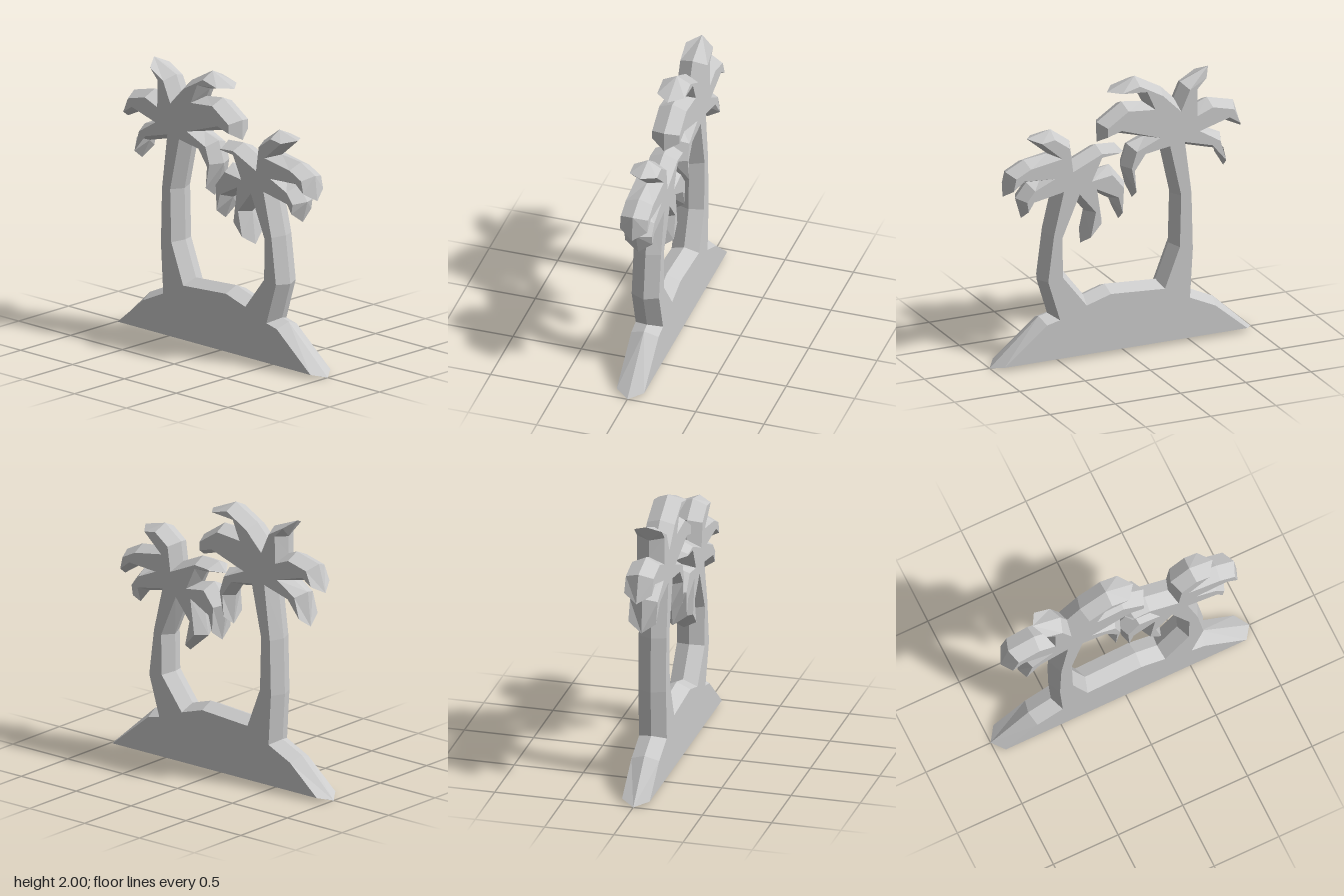
import * as THREE from 'three';

const HALF_DEPTH = 0.1; // flat faces sit at z = +-0.1
const BEVEL = 0.043;    // how far the flat faces step in from the ridge
const MAX_INSET = 0.075; // limit at sharp frond tips

// Ridge outline at z = 0, clockwise from the left end of the island
const islandLeft = [[-1, 0], [-0.71, 0.27], [-0.535, 0.35]];
const tallTrunkOuter = [[-0.555, 0.685], [-0.545, 1.09], [-0.5, 1.43]];
const tallCrown = [
  [[-0.715, 1.37], [-0.79, 1.23], [-0.765, 1.48], [-0.64, 1.54]],
  [[-0.79, 1.57], [-0.925, 1.505], [-0.865, 1.705], [-0.665, 1.755], [-0.59, 1.725]],
  [[-0.59, 1.85], [-0.675, 1.985], [-0.46, 1.9], [-0.41, 1.79]],
  [[-0.31, 1.89], [-0.11, 2], [0.1, 1.91], [-0.135, 1.865], [-0.165, 1.805]],
  [[-0.01, 1.825], [0.18, 1.7], [0.18, 1.555], [0.03, 1.6], [-0.19, 1.545]],
  [[-0.05, 1.505], [0, 1.35], [-0.09, 1.1], [-0.11, 1.315], [-0.175, 1.405], [-0.305, 1.425]],
];
const tallTrunkInner = [[-0.38, 1.09], [-0.37, 0.72], [-0.27, 0.465]];
const islandTop = [[0.12, 0.49], [0.285, 0.44]];
const shortTrunkInner = [[0.44, 0.64], [0.445, 0.91], [0.345, 1.15]];
const shortCrown = [
  [[0.275, 1.06], [0.305, 0.825], [0.14, 0.965], [0.18, 1.18]],
  [[0.09, 1.125], [0.015, 0.96], [-0.03, 1.23], [0.085, 1.375], [0.2, 1.35]],
  [[0.155, 1.43], [-0.02, 1.455], [0.045, 1.53], [0.19, 1.54], [0.37, 1.46]],
  [[0.39, 1.6], [0.535, 1.705], [0.715, 1.66], [0.56, 1.53]],
  [[0.74, 1.51], [0.88, 1.44], [0.9, 1.26], [0.765, 1.345], [0.61, 1.36]],
  [[0.72, 1.34], [0.805, 1.235], [0.76, 1.08], [0.68, 1.18], [0.53, 1.21]],
];
const shortTrunkOuter = [[0.595, 0.95], [0.64, 0.605], [0.56, 0.345]];
const islandRight = [[0.625, 0.33], [1, 0]];

// Step a clockwise outline inwards along its mitred corners
function insetOutline(points) {
  const n = points.length;
  const normal = (a, b) => new THREE.Vector2(b.y - a.y, a.x - b.x).normalize();
  return points.map((p, i) => {
    const n1 = normal(points[(i + n - 1) % n], p);
    const n2 = normal(p, points[(i + 1) % n]);
    const miter = n1.clone().add(n2).multiplyScalar(BEVEL / Math.max(0.05, 1 + n1.dot(n2)));
    return miter.clampLength(0, MAX_INSET).add(p);
  });
}

// Two flat faces joined by bevels that meet in a ridge at mid depth
function ridgedSlab(outline) {
  const inner = insetOutline(outline);
  const positions = [];
  const triangle = (...corners) => {
    for (const [p, z] of corners) positions.push(p.x, p.y, z);
    for (const [p, z] of corners.reverse()) positions.push(p.x, p.y, -z);
  };
  const h = HALF_DEPTH;
  outline.forEach((p, i) => {
    const j = (i + 1) % outline.length;
    triangle([p, 0], [inner[i], h], [inner[j], h]);
    triangle([p, 0], [inner[j], h], [outline[j], 0]);
  });
  for (const face of THREE.ShapeUtils.triangulateShape(inner, [])) {
    const corners = face.map((k) => inner[k]);
    if (THREE.ShapeUtils.area(corners) < 0) corners.reverse();
    triangle(...corners.map((p) => [p, h]));
  }
  const geometry = new THREE.BufferGeometry();
  geometry.setAttribute('position', new THREE.Float32BufferAttribute(positions, 3));
  geometry.computeVertexNormals();
  return geometry;
}

export function createModel() {
  const group = new THREE.Group();
  group.name = 'palmIsland';
  const outline = [
    islandLeft, tallTrunkOuter, ...tallCrown, tallTrunkInner, islandTop,
    shortTrunkInner, ...shortCrown, shortTrunkOuter, islandRight,
  ].flat().map(([x, y]) => new THREE.Vector2(x, y));

  // Island and both palms are one continuous slab
  const material = new THREE.MeshStandardMaterial({ color: 0xcccccc, flatShading: true });
  const slab = new THREE.Mesh(ridgedSlab(outline), material);
  slab.name = 'islandWithTwoPalms';
  group.add(slab);
  return group;
}
